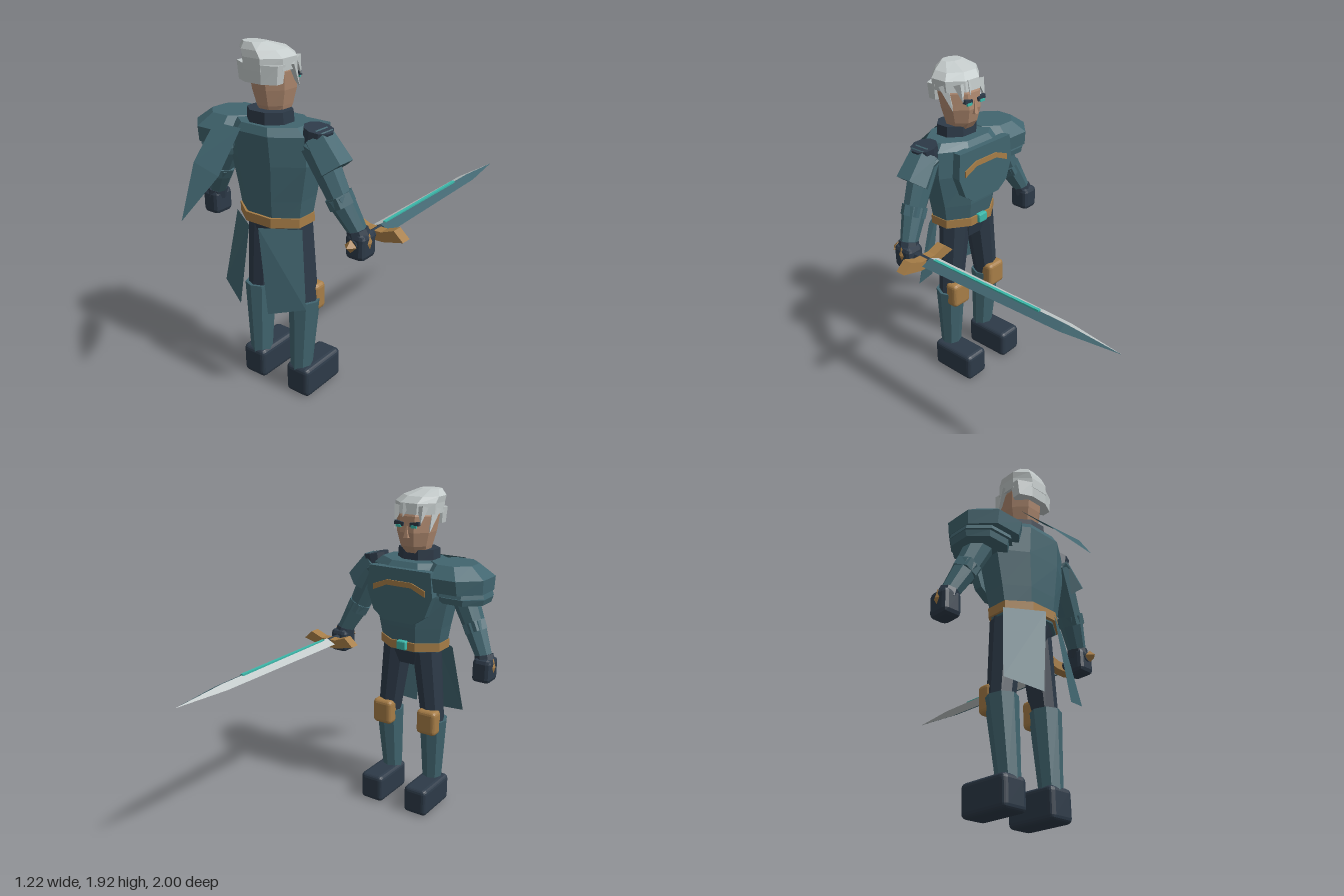
import * as THREE from 'three';
import { RoundedBoxGeometry } from 'three/addons/geometries/RoundedBoxGeometry.js';

const paint = (name, color) => {
  const m = new THREE.MeshStandardMaterial({ color, flatShading: true, side: THREE.DoubleSide });
  m.name = name;
  return m;
};
const CX = -0.06; // body centre line
const V = (x, y, z) => new THREE.Vector3(x, y, z);

export function createModel() {
  const root = new THREE.Group();
  root.name = 'armouredKnight';
  const teal = paint('tealArmour', 0x41656f), navy = paint('navyCloth', 0x2d3a48);
  const gold = paint('goldTrim', 0xa67d47), skin = paint('skin', 0xb08a70);
  const hair = paint('paleHair', 0xc3caca), steel = paint('brightSteel', 0xc3caca);
  const gem = paint('turquoiseGlow', 0x3cb8aa);

  const add = (name, geo, mat, x = 0, y = 0, z = 0) => {
    const m = new THREE.Mesh(geo, mat);
    m.name = name;
    m.position.set(x, y, z);
    root.add(m);
    return m;
  };
  const mesh = (points, index) => {
    const g = new THREE.BufferGeometry();
    g.setAttribute('position', new THREE.Float32BufferAttribute(points.flat(), 3));
    g.setIndex(index);
    g.computeVertexNormals();
    return g;
  };
  // Stacked eight-sided rings, bottom to top: [y, cx, cz, rx, rz]
  const loft = (rings, n = 8) => {
    const p = [], idx = [], k = 1 / Math.cos(Math.PI / n);
    for (const [y, cx, cz, rx, rz] of rings)
      for (let i = 0; i < n; i++) {
        const a = ((i + 0.5) / n) * Math.PI * 2;
        p.push([cx + rx * k * Math.sin(a), y, cz + rz * k * Math.cos(a)]);
      }
    for (let r = 0; r < rings.length - 1; r++)
      for (let i = 0; i < n; i++) {
        const a = r * n + i, b = r * n + ((i + 1) % n);
        idx.push(a, b, b + n, a, b + n, a + n);
      }
    const t = (rings.length - 1) * n;
    for (let i = 1; i < n - 1; i++) idx.push(0, i + 1, i, t, t + i, t + i + 1);
    return mesh(p, idx);
  };
  // Tapered tube between two points
  const limb = (name, a, b, ra, rb, mat, sides = 8) => {
    const m = add(name, new THREE.CylinderGeometry(rb, ra, a.distanceTo(b), sides), mat);
    m.position.copy(a).add(b).multiplyScalar(0.5);
    m.quaternion.setFromUnitVectors(V(0, 1, 0), b.clone().sub(a).normalize());
    return m;
  };
  const plate = (pts, depth) => new THREE.ExtrudeGeometry(
    new THREE.Shape(pts.map(([x, y]) => new THREE.Vector2(x, y))), { depth, bevelEnabled: false });
  const mirrored = (half) => [...half, ...half.map(([x, y]) => [-x, y]).reverse()];

  // Torso, pelvis and belt
  add('torso', loft([[1.0, CX, 0.455, 0.185, 0.125], [1.15, CX, 0.45, 0.21, 0.145],
    [1.34, CX, 0.45, 0.25, 0.16], [1.49, CX, 0.455, 0.245, 0.165], [1.53, CX, 0.46, 0.2, 0.14]]), teal);
  add('pelvis', loft([[0.91, CX, 0.45, 0.12, 0.085], [1.02, CX, 0.45, 0.185, 0.115]]), navy);
  add('belt', loft([[1.01, CX, 0.455, 0.2, 0.145], [1.06, CX, 0.455, 0.2, 0.145]]), gold);
  add('buckle', new RoundedBoxGeometry(0.065, 0.055, 0.035, 1, 0.008), gem, CX, 1.04, 0.308);
  add('breastplate', plate(mirrored([[0.2, 1.5], [0.215, 1.36], [0.17, 1.24], [0.1, 1.19]]), 0.05),
    teal, CX, 0, 0.262);
  add('chestTrim', plate([[-0.17, 1.36], [-0.17, 1.395], [-0.08, 1.43], [0.08, 1.43],
    [0.17, 1.395], [0.17, 1.36], [0.08, 1.4], [-0.08, 1.4]], 0.008), gold, CX, 0, 0.255);
  add('collar', loft([[1.51, CX, 0.48, 0.12, 0.1], [1.59, CX, 0.48, 0.115, 0.095]]), navy);

  // Head, face and hair
  add('head', loft([[1.56, CX, 0.45, 0.07, 0.06], [1.61, CX, 0.445, 0.085, 0.09],
    [1.69, CX, 0.445, 0.105, 0.11], [1.78, CX, 0.455, 0.115, 0.115], [1.86, CX, 0.47, 0.1, 0.1]]), skin);
  const nose = add('nose', new THREE.ConeGeometry(0.02, 0.075, 4), skin, CX, 1.7, 0.335);
  nose.rotation.y = Math.PI / 4;
  add('hairCap', loft([[1.79, CX, 0.472, 0.128, 0.128], [1.85, CX, 0.475, 0.13, 0.125],
    [1.885, CX - 0.02, 0.49, 0.115, 0.105], [1.918, CX - 0.035, 0.535, 0.06, 0.045]]), hair);
  add('hairBack', loft([[1.73, CX, 0.54, 0.12, 0.055], [1.82, CX, 0.535, 0.13, 0.065]]), hair);
  for (const s of [-1, 1]) {
    add('brow', new THREE.BoxGeometry(0.058, 0.022, 0.02), navy, CX + s * 0.05, 1.74, 0.338)
      .rotation.z = s * 0.15;
    add('eye', new THREE.BoxGeometry(0.035, 0.014, 0.009), gem, CX + s * 0.05, 1.727, 0.327);
    // Locks hanging beside the brow and temple
    limb('templeLock', V(CX + s * 0.105, 1.82, 0.45), V(CX + s * 0.115, 1.69, 0.39), 0.04, 0, hair, 4);
    limb('browLock', V(CX + s * 0.075, 1.83, 0.375), V(CX + s * 0.085, 1.74, 0.34), 0.032, 0, hair, 4);
  }
  limb('centreLock', V(CX + 0.02, 1.84, 0.37), V(CX + 0.03, 1.77, 0.335), 0.03, 0, hair, 4);

  for (const s of [-1, 1]) {
    const X = (d) => CX + s * d;
    // Legs
    limb('thigh', V(X(0.155), 0.55, 0.43), V(X(0.1), 1.0, 0.43), 0.07, 0.09, navy);
    limb('shin', V(X(0.145), 0.15, 0.46), V(X(0.155), 0.57, 0.435), 0.06, 0.085, teal);
    add('kneePad', new RoundedBoxGeometry(0.13, 0.155, 0.085, 2, 0.025), gold, X(0.155), 0.567, 0.372);
    add('boot', new RoundedBoxGeometry(0.155, 0.175, 0.3, 2, 0.028), navy, X(0.157), 0.0875, 0.37);
    // Back skirt panel, flared out and down
    add('skirtPanel', mesh([[X(0.03), 1.01, 0.635], [X(0.22), 1.01, 0.52],
      [X(0.28), 0.6, 0.575], [X(0.095), 0.55, 0.658]], s > 0 ? [0, 2, 1, 0, 3, 2] : [0, 1, 2, 0, 2, 3]), teal);
    // Arms
    const shoulder = V(X(0.27), 1.45, 0.46), elbow = V(X(0.4), 1.18, 0.44), wrist = V(X(0.485), 1.02, 0.405);
    limb('upperArm', shoulder, elbow, 0.085, 0.062, teal);
    limb('forearm', elbow.clone().lerp(shoulder, 0.1), wrist, 0.07, 0.047, teal);
    limb('elbowGuard', elbow.clone().lerp(shoulder, 0.12), elbow.clone().lerp(wrist, 0.12), 0.074, 0.072, teal, 6);
    add('hand', new RoundedBoxGeometry(0.11, 0.14, 0.125, 1, 0.025), navy, X(0.49), 0.965, 0.4);
    limb('cuff', V(X(0.475), 1.045, 0.41), V(X(0.487), 1.0, 0.405), 0.055, 0.06, navy);
    add('handStud', new THREE.OctahedronGeometry(0.035), gold, X(0.54), 0.985, 0.4).scale.set(0.4, 1.5, 0.9);
  }

  // Large layered pauldron on one shoulder
  add('pauldron', loft([[1.39, -0.34, 0.455, 0.18, 0.175], [1.47, -0.33, 0.455, 0.193, 0.185],
    [1.535, -0.31, 0.455, 0.125, 0.12]]), teal);
  add('pauldronLameUpper', loft([[1.365, -0.36, 0.455, 0.165, 0.15], [1.4, -0.36, 0.455, 0.155, 0.14]]), teal);
  add('pauldronLameLower', loft([[1.325, -0.37, 0.455, 0.145, 0.135], [1.36, -0.37, 0.455, 0.155, 0.14]]), teal);

  // Lighter shoulder guard on the other side
  limb('shoulderSleeve', V(0.21, 1.48, 0.455), V(0.315, 1.34, 0.455), 0.085, 0.1, teal, 6);
  limb('shoulderLame', V(0.2, 1.46, 0.455), V(0.26, 1.43, 0.455), 0.09, 0.085, teal, 6);
  limb('shoulderCap', V(0.2, 1.43, 0.455), V(0.22, 1.53, 0.455), 0.07, 0.075, navy, 10);

  // Half cape flying out behind
  add('halfCape', mesh([[-0.27, 1.52, 0.655], [-0.095, 1.52, 0.655], [-0.062, 1.34, 0.85],
    [-0.168, 1.14, 1.0], [-0.262, 1.36, 0.815]], [0, 4, 1, 1, 4, 2, 2, 4, 3]), teal);

  // Sword: grip, guard and two-toned blade with a glowing fuller
  const SX = 0.43, SY = 0.983;
  limb('grip', V(SX, SY, 0.47), V(SX, SY, 0.23), 0.024, 0.024, navy);
  add('pommel', new THREE.OctahedronGeometry(0.035), gold, SX, SY, 0.485);
  add('guard', plate(mirrored([[0.05, 0.02], [0.125, 0.048], [0.18, -0.002], [0.06, -0.03]]), 0.06),
    gold, SX, SY, 0.24);
  const sections = [[0.23, 0.06, 0.028], [-0.68, 0.045, 0.022], [-1, 0, 0]];
  for (const s of [-1, 1]) {
    const pts = sections.flatMap(([z, w, t]) => [[0, t, z], [s * w, 0, z], [0, -t, z]]);
    const idx = [0, 2, 1];
    for (let r = 0; r < 2; r++)
      for (let i = 0; i < 2; i++) {
        const a = r * 3 + i;
        idx.push(a, a + 1, a + 4, a, a + 4, a + 3);
      }
    if (s < 0) idx.reverse();
    add(s < 0 ? 'bladeBrightHalf' : 'bladeDarkHalf', mesh(pts, idx), s < 0 ? steel : teal, SX, SY, 0);
  }
  add('bladeFuller', new THREE.BoxGeometry(0.016, 0.012, 0.72), gem, SX, SY + 0.024, -0.165);

  return root;
}
